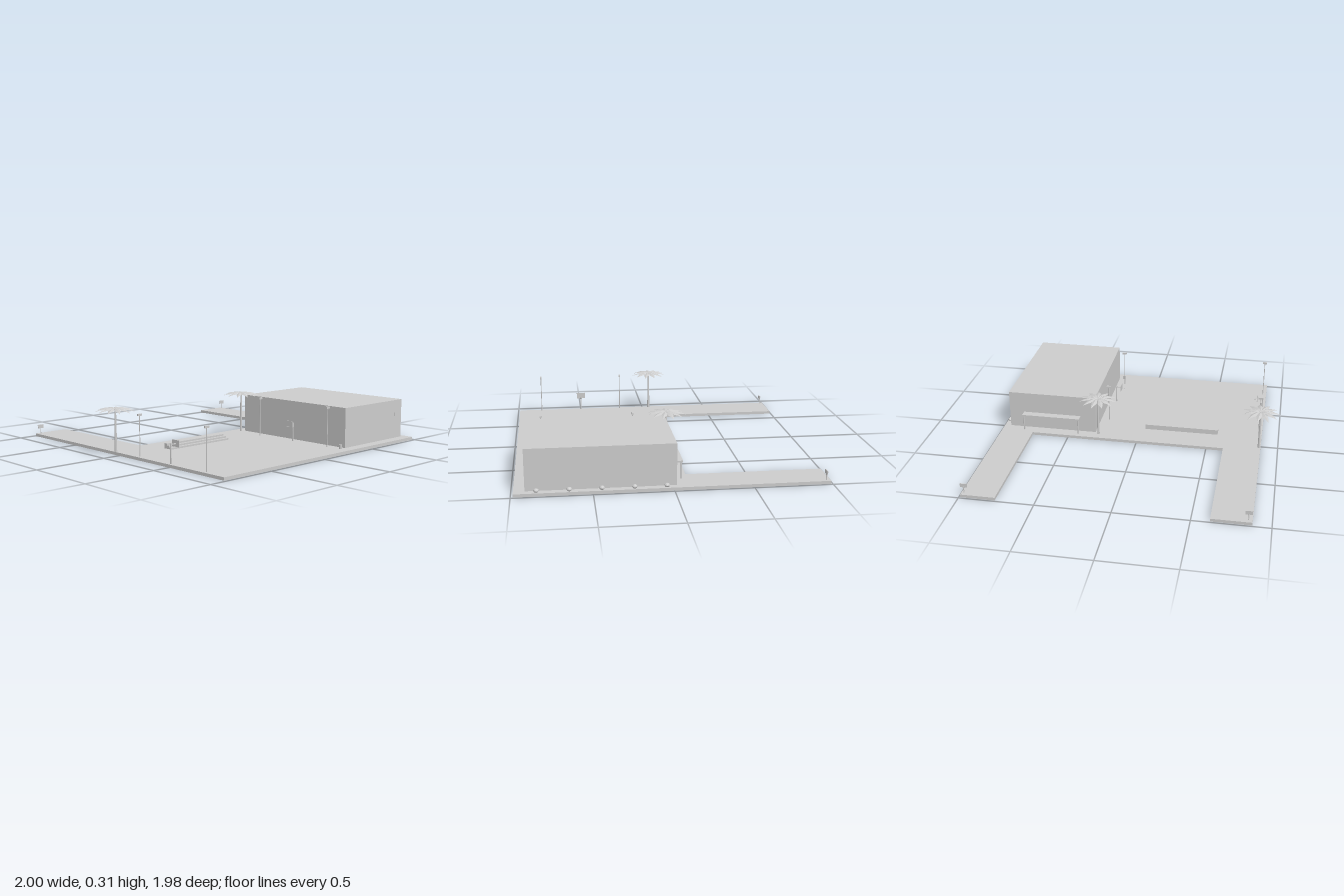
import * as THREE from 'three';

const GROUND = 0.02;
const grey = new THREE.MeshStandardMaterial({ color: 0xcccccc });
grey.name = 'light grey';
const leafGrey = grey.clone();
leafGrey.name = 'light grey foliage';
leafGrey.side = THREE.DoubleSide;
leafGrey.flatShading = true;

function add(parent, name, geometry, x = 0, y = 0, z = 0, material = grey) {
  const mesh = new THREE.Mesh(geometry, material);
  mesh.name = name;
  mesh.position.set(x, y, z);
  parent.add(mesh);
  return mesh;
}

// Box given by its limits on each axis
function box(parent, name, x0, x1, y0, y1, z0, z1) {
  return add(parent, name, new THREE.BoxGeometry(x1 - x0, y1 - y0, z1 - z0),
    (x0 + x1) / 2, (y0 + y1) / 2, (z0 + z1) / 2);
}

// Upright round post standing on the ground slab
function post(parent, name, x, z, top, r0, r1 = r0, sides = 10) {
  const h = top - GROUND;
  return add(parent, name, new THREE.CylinderGeometry(r1, r0, h, sides), x, GROUND + h / 2, z);
}

function group(parent, name) {
  const g = new THREE.Group();
  g.name = name;
  parent.add(g);
  return g;
}

// Folded, drooping frond running out along +x
function frondGeometry() {
  const sections = [[0, 0.304, 0.001], [0.035, 0.310, 0.010], [0.075, 0.306, 0.020], [0.105, 0.298, 0.010], [0.132, 0.286, 0.0005]];
  const pos = [], index = [];
  sections.forEach(([r, y, w], i) => {
    pos.push(r, y - w * 0.35, -w, r, y, 0, r, y - w * 0.35, w);
    if (i === 0) return;
    for (let k = 0; k < 2; k++) {
      const a = (i - 1) * 3 + k, b = a + 3;
      index.push(a, a + 1, b, a + 1, b + 1, b);
    }
  });
  const g = new THREE.BufferGeometry();
  g.setAttribute('position', new THREE.Float32BufferAttribute(pos, 3));
  g.setIndex(index);
  g.computeVertexNormals();
  return g;
}

function palm(parent, x, z) {
  const g = group(parent, 'palmTree');
  post(g, 'trunk', x, z, 0.304, 0.009, 0.006);
  const frond = frondGeometry();
  const count = 11;
  for (let i = 0; i < count; i++) {
    add(g, 'frond', frond, x, 0, z, leafGrey).rotation.y = Math.PI + (i / count) * Math.PI * 2;
  }
}

// Basketball hoop; dir is the x direction it faces
function hoop(parent, x, z, dir) {
  const g = group(parent, 'basketballHoop');
  g.position.set(x, 0, z);
  g.rotation.y = dir > 0 ? 0 : Math.PI;
  post(g, 'hoopPost', 0, 0, 0.147, 0.005);
  box(g, 'hoopArm', 0, 0.04, 0.139, 0.145, -0.003, 0.003);
  box(g, 'backboard', 0.038, 0.042, 0.122, 0.165, -0.033, 0.033);
  add(g, 'rim', new THREE.TorusGeometry(0.01, 0.0015, 6, 20), 0.053, 0.128, 0).rotation.x = Math.PI / 2;
}

export function createModel() {
  const model = new THREE.Group();
  model.name = 'schoolyard';

  // Ground slab with two driveways running to the back
  const outline = [[-0.88, -0.99], [-0.62, -0.99], [-0.62, -0.1], [0.76, -0.1],
    [0.76, -0.99], [0.99, -0.99], [0.99, 0.985], [-0.88, 0.985]];
  const shape = new THREE.Shape(outline.map(([x, z]) => new THREE.Vector2(x, -z)));
  const slab = new THREE.ExtrudeGeometry(shape, { depth: GROUND, bevelEnabled: false });
  slab.rotateX(-Math.PI / 2);
  add(model, 'groundSlab', slab);

  // Hall with wall plaques
  const hall = group(model, 'hall');
  box(hall, 'hallWalls', 0.31, 0.945, GROUND, 0.29, -0.02, 0.915);
  box(hall, 'frontPlaque', 0.865, 0.878, 0.16, 0.2, 0.915, 0.918);

  // Entrance canopy at the back
  const canopy = group(model, 'entranceCanopy');
  box(canopy, 'canopyRoof', 0.42, 0.84, 0.128, 0.14, -0.073, -0.02);
  for (const x of [0.43, 0.83]) post(canopy, 'canopyPost', x, -0.063, 0.13, 0.005);

  // Bleachers climbing toward the back
  const bleachers = group(model, 'bleachers');
  for (let i = 0; i < 3; i++) {
    box(bleachers, 'bleacherStep', -0.565, -0.04, GROUND, 0.032 + i * 0.0115,
      0.137 - i * 0.0235, 0.16 - i * 0.0235);
  }

  // Court arcs, hoops and lamps, one set per end
  for (const [end, arcX, hoopX, lampX] of [[1, -0.785, -0.862, -0.855], [-1, 0.18, 0.257, 0.25]]) {
    const start = end > 0 ? -Math.PI / 2 : Math.PI / 2;
    const arc = new THREE.RingGeometry(0.24, 0.248, 48, 1, start, Math.PI);
    arc.rotateX(-Math.PI / 2);
    add(model, 'courtArc', arc, arcX, GROUND + 0.001, 0.5);
    hoop(model, hoopX, 0.5, end);
    for (const z of [0.19, 0.812]) {
      const lamp = group(model, 'lamp');
      post(lamp, 'lampPost', lampX, z, 0.285, 0.003);
      box(lamp, 'lampHead', lampX - 0.016, lampX + 0.016, 0.282, 0.295, z - 0.006, z + 0.006);
    }
  }

  // Palms
  palm(model, -0.868, -0.045);
  palm(model, 0.285, -0.037);

  // Bushes along the side wall
  for (let i = 0; i < 5; i++) {
    const bush = add(model, 'bush', new THREE.IcosahedronGeometry(0.017, 1), 0.97, 0.032, 0.045 + i * 0.2, leafGrey);
    bush.scale.y = 0.8;
  }

  // Litter bin
  post(model, 'litterBin', 0.27, 0.91, 0.048, 0.009, 0.01, 16);

  // Signs at the driveway ends
  for (const x of [-0.855, 0.973]) {
    const sign = group(model, 'drivewaySign');
    post(sign, 'signPost', x, -0.962, 0.065, 0.003);
    box(sign, 'signBoard', x - 0.023, x + 0.023, 0.06, 0.086, -0.964, -0.958);
  }

  return model;
}
